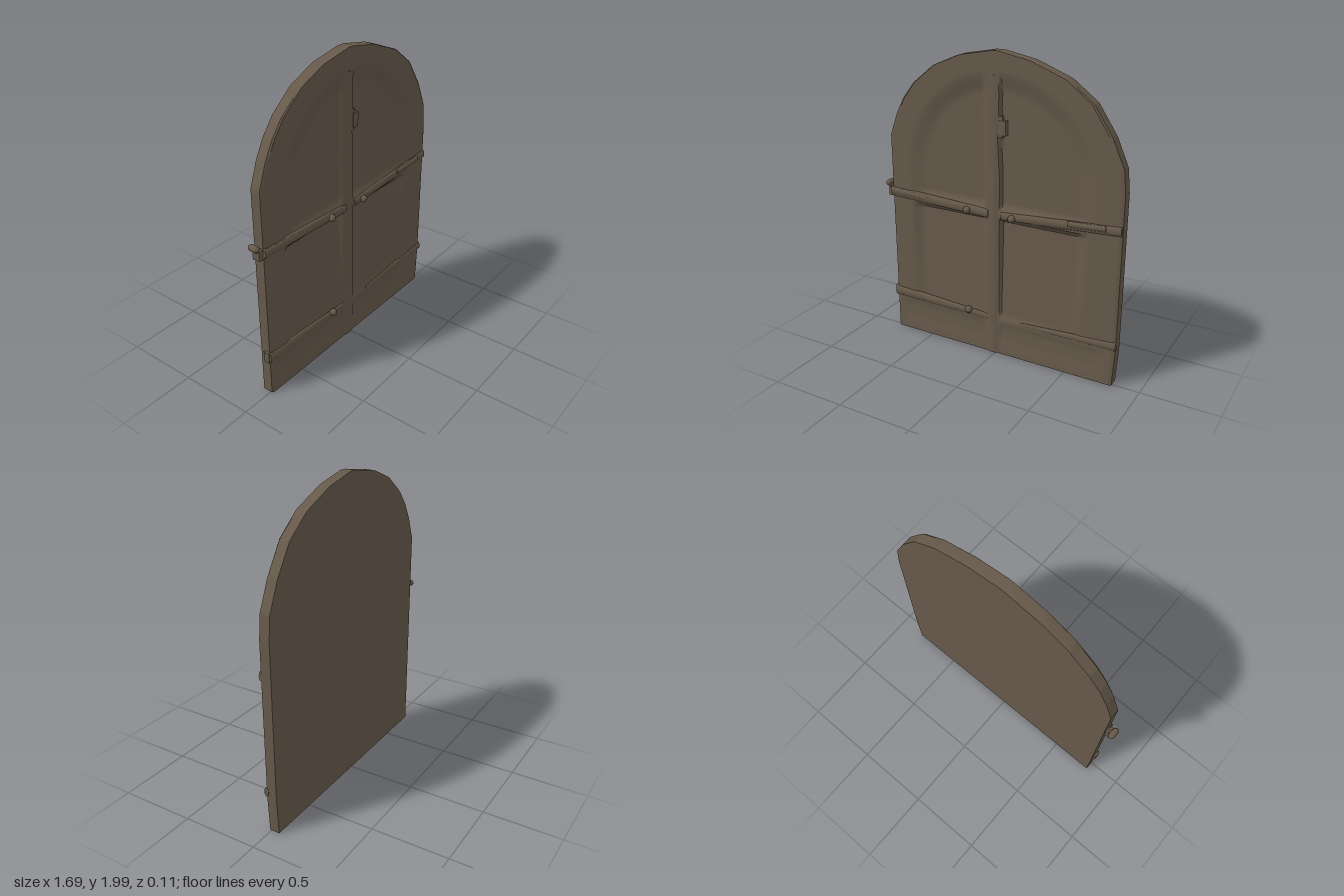
import * as THREE from 'three';
import { toCreasedNormals } from 'three/addons/utils/BufferGeometryUtils.js';

const wood = new THREE.MeshStandardMaterial({ color: 0x66594a });
wood.name = 'dark brown wood';

// Outline of the arched door as [y, x] for each edge
const leftEdge = [[0, -0.78], [1.4, -0.785], [1.55, -0.73], [1.66, -0.67], [1.76, -0.59], [1.88, -0.44], [1.96, -0.25], [1.99, -0.08], [2, -0.03]];
const rightEdge = [[0, 0.82], [0.25, 0.835], [1.25, 0.84], [1.4, 0.825], [1.57, 0.75], [1.75, 0.63], [1.87, 0.47], [1.96, 0.24], [1.99, 0.08], [2, 0.03]];
const BACK = -0.055, FACE = 0.018;

function edgeAt(table, y) {
  for (let i = 1; i < table.length; i++) {
    const [y0, x0] = table[i - 1], [y1, x1] = table[i];
    if (y <= y1) return x0 + (x1 - x0) * (y - y0) / (y1 - y0);
  }
  return table[table.length - 1][1];
}

const smooth = (d, w) => THREE.MathUtils.smoothstep(d, 0, w);

// Front relief: two arched upper panels, two sloping lower panels, shallow bottom rail
function faceZ(x, y) {
  const sideGap = x < 0 ? -0.05 - x : x - 0.025;
  const stile = smooth(sideGap, x < 0 ? 0.05 : 0.012);
  let depth = 0;
  if (y > 1) {
    const r = y > 1.22 ? Math.hypot(x - 0.02, y - 1.22) : Math.abs(x - 0.02);
    depth = 0.026 * smooth(0.67 - r, 0.14) * smooth(y - 1.0, 0.06);
  } else if (y > 0.25) {
    const flare = x > 0 ? 0.1 * (0.95 - y) : 0;
    const side = smooth(0.64 - flare * 0.5 - Math.abs(x), 0.09);
    depth = (0.012 + 0.024 * (y - 0.25) / 0.7) * side * smooth(0.98 - y, 0.04) * smooth(y - 0.25, 0.05);
  } else {
    depth = 0.008 * smooth(0.25 - y, 0.05) * smooth(y - 0.02, 0.12) * smooth(0.78 - Math.abs(x), 0.1);
  }
  return FACE - depth * stile;
}

// Door leaf: a loft of closed cross-sections from the bottom to the top of the arch
function leafGeometry() {
  const rows = 130, cols = 110, pos = [], index = [], ring = cols + 3;
  const addRow = (y, flat) => {
    const l = edgeAt(leftEdge, y), r = edgeAt(rightEdge, y), b = Math.min(0.008, (r - l) / 4);
    pos.push(l, y, BACK);
    for (let i = 0; i <= cols; i++) {
      const x = l + (r - l) * i / cols;
      const edge = Math.min(x - l, r - x);
      const z = faceZ(x, y) - 0.008 * (1 - Math.min(1, edge / b));
      pos.push(x, y, flat ? BACK : z);
    }
    pos.push(r, y, BACK);
  };
  addRow(0.01, true);
  for (let j = 0; j <= rows; j++) {
    const t = j / rows;
    addRow(0.01 + 1.99 * (0.6 * t + 0.4 * Math.sin(t * Math.PI / 2)), false);
  }
  addRow(2, true);
  for (let j = 0; j < rows + 2; j++) {
    for (let i = 0; i < ring; i++) {
      const k = (i + 1) % ring;
      const a = j * ring + i, b = j * ring + k, c = a + ring, d = b + ring;
      index.push(a, b, d, a, d, c);
    }
  }
  const geo = new THREE.BufferGeometry();
  geo.setAttribute('position', new THREE.Float32BufferAttribute(pos, 3));
  geo.setIndex(index);
  return toCreasedNormals(geo, 0.6);
}

export function createModel() {
  const model = new THREE.Group();
  model.name = 'archedDoor';

  const add = (name, geo, x, y, z) => {
    const mesh = new THREE.Mesh(geo, wood);
    mesh.name = name;
    mesh.position.set(x, y, z);
    model.add(mesh);
    return mesh;
  };

  // Rounded bar between two points, flattened in depth
  const bar = (name, x0, y0, x1, y1, r0, r1, z, depth = 0.5) => {
    const len = Math.hypot(x1 - x0, y1 - y0);
    const geo = new THREE.CylinderGeometry(r1, r0, len, 14, 1);
    geo.scale(1, 1, depth);
    const mesh = add(name, geo, (x0 + x1) / 2, (y0 + y1) / 2, z);
    mesh.rotation.z = Math.atan2(y1 - y0, x1 - x0) - Math.PI / 2;
    return mesh;
  };

  add('doorLeaf', leafGeometry(), 0, 0, 0);

  // Centre stile with a slim raised lip
  bar('centreStile', -0.02, 0.01, -0.012, 1.86, 0.042, 0.03, 0.011, 0.35);

  // Strap hinges
  bar('upperLeftStrap', -0.79, 1.015, -0.05, 0.985, 0.034, 0.03, 0.012);
  bar('upperRightStrap', 0.04, 0.985, 0.835, 1.035, 0.026, 0.03, 0.014);
  bar('lowerLeftStrap', -0.79, 0.285, -0.05, 0.262, 0.036, 0.02, 0.012);
  bar('lowerRightStrap', 0.18, 0.262, 0.838, 0.287, 0.012, 0.03, 0.012);
  bar('upperRightStrapEnd', 0.5, 1.025, 0.74, 1.038, 0.018, 0.018, 0.027, 0.6);
  bar('upperLeftStrapEnd', -0.79, 1.02, -0.5, 1.008, 0.022, 0.016, 0.022, 0.5);

  // Round studs
  for (const [x, y] of [[-0.2, 0.988], [0.122, 0.985], [-0.195, 0.285]]) {
    const stud = new THREE.SphereGeometry(0.024, 14, 10);
    add('stud', stud, x, y, 0.031);
  }

  // Small latch beside the stile
  add('latchPlate', new THREE.BoxGeometry(0.045, 0.09, 0.03), 0.05, 1.545, 0.006);
  add('latchTip', new THREE.BoxGeometry(0.03, 0.13, 0.02), 0.033, 1.55, 0.006);

  // Hinge pin hooked on the left edge
  add('hingeBracket', new THREE.BoxGeometry(0.05, 0.06, 0.05), -0.795, 1.01, -0.012);
  bar('hingeArm', -0.8, 1.02, -0.828, 1.06, 0.016, 0.014, -0.015, 1);
  const pin = new THREE.CapsuleGeometry(0.02, 0.035, 5, 12);
  pin.rotateX(Math.PI / 2);
  add('hingePin', pin, -0.828, 1.06, -0.017);
  add('lowerHingeBracket', new THREE.BoxGeometry(0.03, 0.07, 0.04), -0.781, 0.285, -0.004);

  return model;
}
